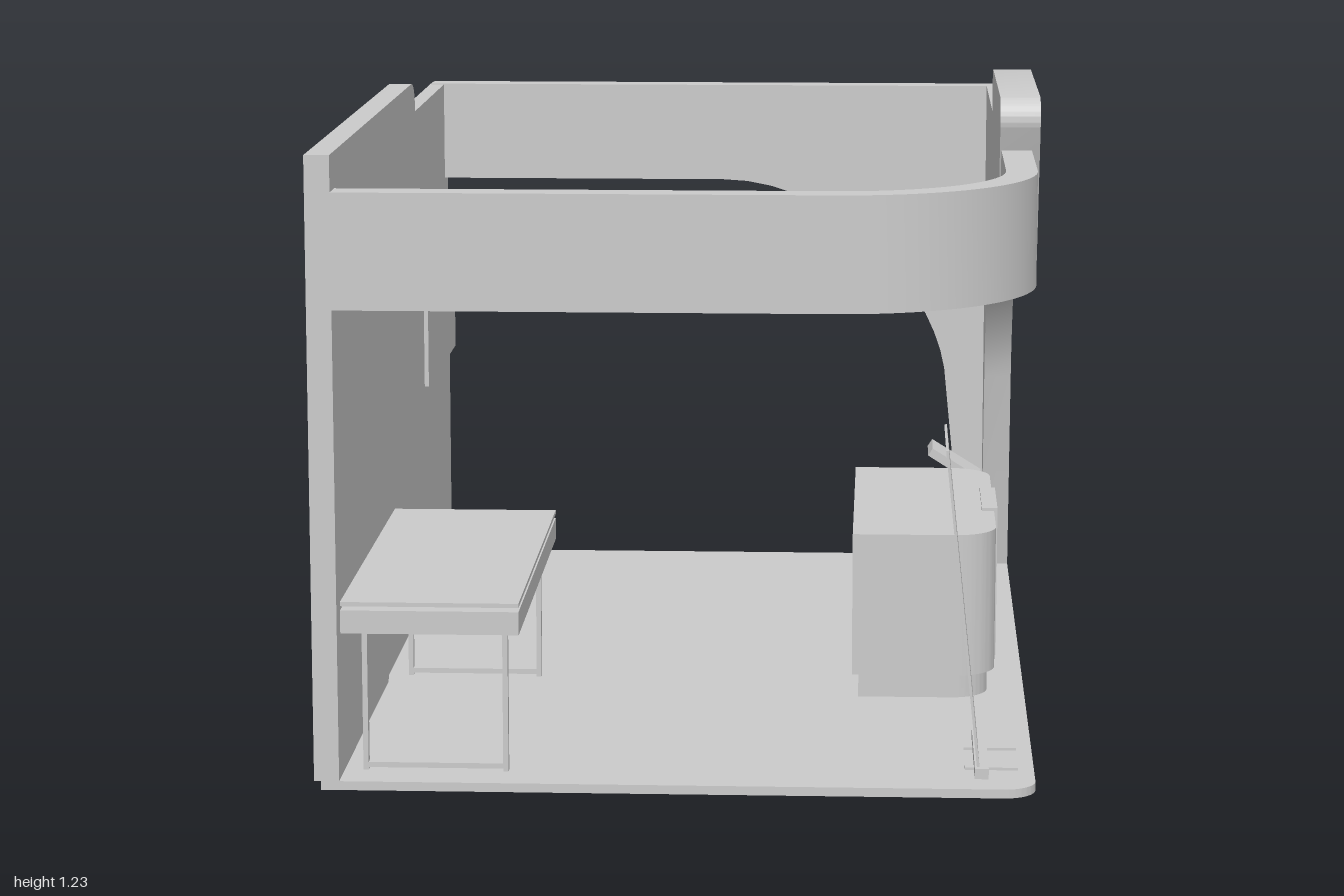
import * as THREE from 'three';
import { toCreasedNormals } from 'three/addons/utils/BufferGeometryUtils.js';

const grey = new THREE.MeshStandardMaterial({ color: 0xcccccc });

export function createModel() {
  const root = new THREE.Group();

  function add(name, geometry, parent = root) {
    const mesh = new THREE.Mesh(geometry, grey);
    mesh.name = name;
    parent.add(mesh);
    return mesh;
  }

  function group(name) {
    const g = new THREE.Group();
    g.name = name;
    root.add(g);
    return g;
  }

  // Box given by its limits on each axis
  function box(name, x0, x1, y0, y1, z0, z1, parent) {
    const g = new THREE.BoxGeometry(x1 - x0, y1 - y0, z1 - z0);
    g.translate((x0 + x1) / 2, (y0 + y1) / 2, (z0 + z1) / 2);
    return add(name, g, parent);
  }

  const extrude = (shape, depth) =>
    new THREE.ExtrudeGeometry(shape, { depth, bevelEnabled: false, curveSegments: 14 });
  const crease = (g) => toCreasedNormals(g, 0.5);

  // Outline drawn in (x, z), standing between two heights
  function slab(name, shape, y0, y1, parent) {
    const g = extrude(shape, y1 - y0).rotateX(Math.PI / 2).translate(0, y1, 0);
    return add(name, crease(g), parent);
  }

  // Outline drawn in (z, y), spanning two x positions
  function sidePanel(name, shape, x0, x1, parent) {
    const g = extrude(shape, x1 - x0).rotateY(-Math.PI / 2).translate(x1, 0, 0);
    return add(name, crease(g), parent);
  }

  // Polygon of [x, y, cornerRadius] with rounded corners
  function rounded(points) {
    const shape = new THREE.Shape();
    const n = points.length;
    points.forEach(([x, y, r = 0], i) => {
      const p = new THREE.Vector2(x, y);
      const toward = (q) => new THREE.Vector2(q[0], q[1]).sub(p).normalize();
      const u = toward(points[(i + n - 1) % n]);
      const v = toward(points[(i + 1) % n]);
      const half = Math.acos(u.dot(v)) / 2;
      const a = p.clone().addScaledVector(u, r / Math.tan(half));
      if (i === 0) shape.moveTo(a.x, a.y);
      else shape.lineTo(a.x, a.y);
      if (r > 0) {
        const c = u.clone().add(v).normalize().multiplyScalar(r / Math.sin(half)).add(p);
        const b = p.clone().addScaledVector(v, r / Math.tan(half));
        shape.absarc(c.x, c.y, r, Math.atan2(a.y - c.y, a.x - c.x),
          Math.atan2(b.y - c.y, b.x - c.x), u.cross(v) > 0);
      }
    });
    return shape;
  }

  // Floor
  slab('floor', rounded([[-0.67, -1], [0.66, -1, 0.06], [0.66, 1, 0.06], [-0.67, 1]]), 0, 0.017);

  // Left wall: tall front panel and lower back panel meeting on a slanted seam
  sidePanel('frontWallPanel',
    rounded([[1, 0.017], [1, 1.19], [-0.365, 1.19, 0.06], [0.255, 0.017]]), -0.683, -0.636);
  sidePanel('backWallPanel',
    rounded([[-1, 0], [0.255, 0], [0.255, 0.017], [-0.33, 1.12], [-1, 1.12]]), -0.674, -0.642);

  // Fascia band around the front, right and back
  slab('fascia', rounded([
    [-0.642, 1], [0.66, 1, 0.38], [0.66, -1, 0.06], [-0.67, -1],
    [-0.67, -0.94], [0.6, -0.94], [0.6, 0.94, 0.32], [-0.642, 0.94],
  ]), 0.905, 1.122);

  // Ledge inside the fascia
  slab('ledge', rounded([
    [-0.638, 0.94], [0.6, 0.94, 0.32], [0.6, -0.265],
    [0.44, -0.265, 0.14], [0.44, 0.785, 0.2], [-0.638, 0.785],
  ]), 0.905, 0.935);

  // Corner column flaring into two arches, drawn as distance from the corner
  const column = group('cornerColumn');
  const archSide = (foot, knee, end) => {
    const s = new THREE.Shape();
    s.moveTo(0.06, 0);
    s.lineTo(foot, 0);
    s.lineTo(knee, 0.47);
    s.bezierCurveTo(knee + 0.03, 0.66, end - 0.26, 0.905, end, 0.905);
    s.lineTo(0.06, 0.905);
    return extrude(s, 0.06);
  };
  add('sideArch', crease(archSide(0.095, 0.172, 0.71).rotateY(-Math.PI / 2)
    .translate(0.66, 0, -1)), column);
  add('backArch', crease(archSide(0.103, 0.15, 0.66).rotateY(Math.PI)
    .translate(0.66, 0, -0.94)), column);
  add('roundedCorner', new THREE.CylinderGeometry(0.06, 0.06, 0.905, 12, 1, false,
    Math.PI / 2, Math.PI / 2).translate(0.6, 0.4525, -0.94), column);

  // Tapered sign board on the right fascia
  sidePanel('signBoard', rounded([
    [0.335, 1.226, 0.045], [-0.335, 1.226, 0.045], [-0.2, 0.866, 0.04], [0.2, 0.866, 0.04],
  ]), 0.597, 0.676);

  // Reception counter
  const counter = group('counter');
  slab('counterBody', rounded([
    [0.312, -0.342], [0.6, -0.342, 0.085], [0.6, 0.342, 0.085], [0.312, 0.342],
  ]), 0.065, 0.354, counter);
  slab('counterPlinth', rounded([
    [0.325, -0.33], [0.585, -0.33, 0.075], [0.585, 0.33, 0.075], [0.325, 0.33],
  ]), 0.017, 0.065, counter);
  box('counterFrontPanel', 0.575, 0.607, 0.05, 0.36, -0.105, 0.105, counter);

  // Display table
  const table = group('table');
  box('tableTray', -0.635, -0.302, 0.29, 0.334, 0.12, 0.96, table);
  box('tableTop', -0.635, -0.302, 0.342, 0.35, 0.12, 0.96, table);
  for (const x of [-0.596, -0.334])
    for (const z of [0.2, 0.9])
      box('topSpacer', x - 0.006, x + 0.006, 0.334, 0.342, z - 0.006, z + 0.006, table);
  for (const z of [0.19, 0.91]) {
    for (const x of [-0.596, -0.332])
      box('tableLeg', x - 0.005, x + 0.005, 0.017, 0.29, z - 0.008, z + 0.008, table);
    box('tableFootBar', -0.591, -0.337, 0.022, 0.032, z - 0.008, z + 0.008, table);
  }

  // Wall screen
  box('wallScreen', -0.62, -0.611, 0.53, 0.832, -0.842, -0.305);
  box('screenBracket', -0.643, -0.62, 0.63, 0.73, -0.63, -0.52);

  // Leaning banner stand
  const banner = group('bannerStand');
  const sheet = add('bannerSheet', new THREE.BoxGeometry(0.005, 0.608, 0.265), banner);
  sheet.position.set(0.522, 0.338, 0.797);
  sheet.rotation.z = Math.atan2(0.064, 0.605);
  box('bannerBase', 0.547, 0.573, 0.02, 0.04, 0.655, 0.942, banner);
  for (const z of [0.72, 0.86])
    box('bannerFoot', 0.53, 0.63, 0.017, 0.022, z - 0.008, z + 0.008, banner);

  // Tablet kiosk: foot, post and tilted screen as one bent strip
  const strip = new THREE.Shape([
    [0.475, 0.017], [0.592, 0.017], [0.592, 0.268], [0.482, 0.336],
    [0.472, 0.32], [0.57, 0.258], [0.57, 0.036], [0.475, 0.036],
  ].map(([x, y]) => new THREE.Vector2(x, y)));
  add('tabletKiosk', extrude(strip, 0.114).translate(0, 0, -0.765));

  return root;
}
